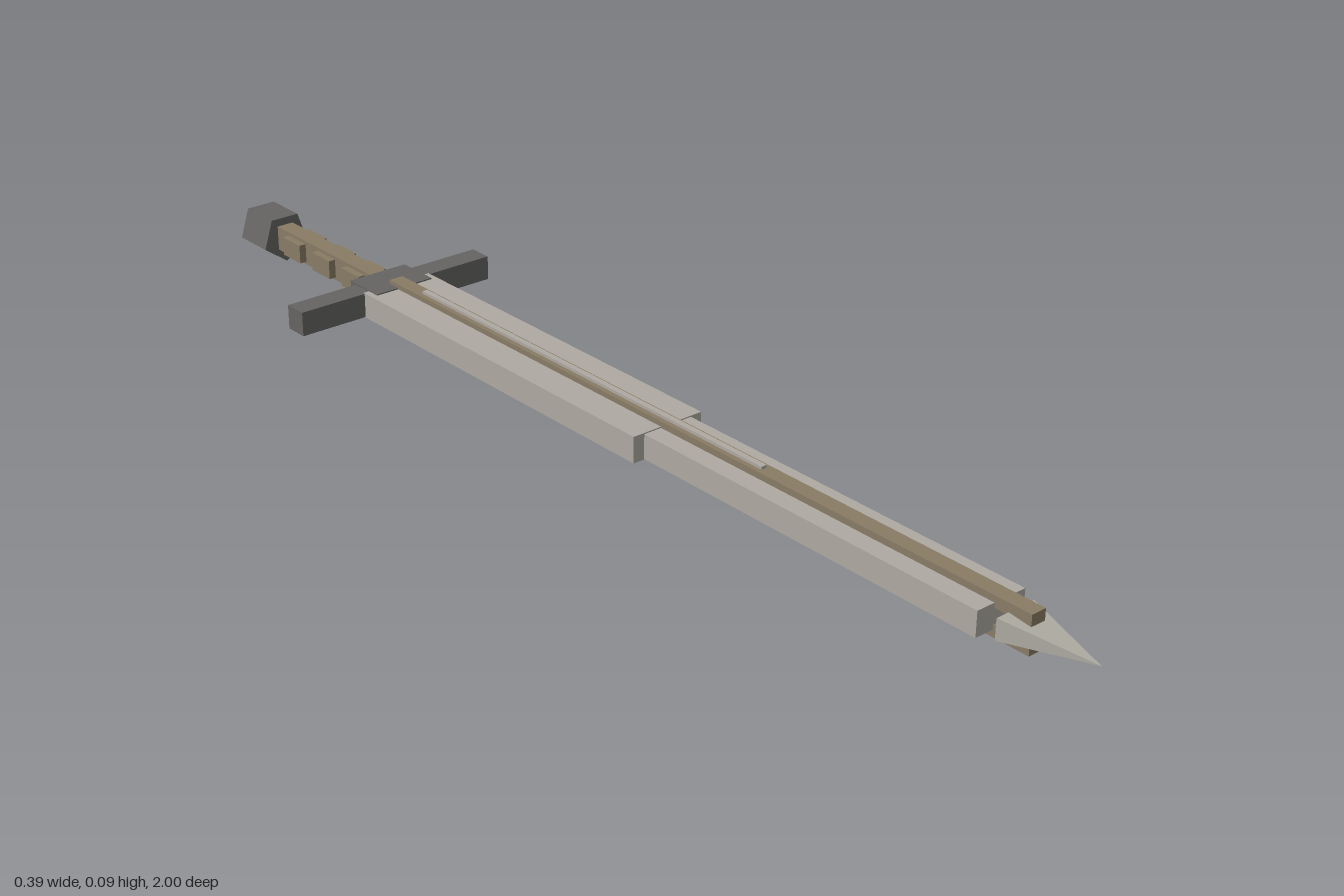
import * as THREE from 'three';

const steel = new THREE.MeshStandardMaterial({ color: 0xaeaaa2 });
steel.name = 'pale steel';
const iron = new THREE.MeshStandardMaterial({ color: 0x656463 });
iron.name = 'dark iron';
const bronze = new THREE.MeshStandardMaterial({ color: 0x887c65 });
bronze.name = 'dull bronze';

const MID = 0.051; // height of the sword's centre line

export function createModel() {
  const sword = new THREE.Group();
  sword.name = 'sword';

  const add = (name, geometry, material) => {
    const mesh = new THREE.Mesh(geometry, material);
    mesh.name = name;
    sword.add(mesh);
    return mesh;
  };

  // Box centred on x, given by half width, height range and length range
  const bar = (name, material, halfX, y0, y1, z0, z1) => {
    const mesh = add(name, new THREE.BoxGeometry(halfX * 2, y1 - y0, z1 - z0), material);
    mesh.position.set(0, (y0 + y1) / 2, (z0 + z1) / 2);
  };

  // Blade: broad half near the guard, slimmer half towards the tip
  bar('broadBlade', steel, 0.068, 0.029, 0.074, -0.57, 0.145);
  bar('slimBlade', steel, 0.047, 0.03, 0.072, 0.145, 0.825);

  // Pointed tip: a flattened square pyramid
  const tip = new THREE.ConeGeometry(Math.SQRT2, 0.15, 4).toNonIndexed();
  tip.rotateY(Math.PI / 4);
  tip.rotateX(Math.PI / 2);
  tip.scale(0.037, 0.0175, 1);
  tip.computeVertexNormals();
  add('bladeTip', tip, steel).position.set(0, MID, 0.925);

  // Raised ridge and thin inlay on both faces of the blade
  for (const [side, s] of [['upper', 1], ['lower', -1]]) {
    const range = (a, b) => (s > 0 ? [MID + a, MID + b] : [MID - b, MID - a]);
    bar(side + 'Ridge', bronze, 0.0135, ...range(0.013, 0.032), -0.57, 0.89);
    bar(side + 'Inlay', steel, 0.005, ...range(0.03, 0.037), -0.485, 0.36);
  }

  // Cross guard with a thicker centre block
  bar('crossGuard', iron, 0.195, 0.03, 0.073, -0.61, -0.567);
  bar('guardBlock', iron, 0.057, 0.027, 0.076, -0.625, -0.545);

  // Grip with three wider bands
  bar('gripCore', bronze, 0.016, 0.03, 0.075, -0.925, -0.62);
  for (const z of [-0.67, -0.762, -0.856]) {
    bar('gripBand', bronze, 0.029, 0.035, 0.069, z - 0.027, z + 0.027);
  }

  // Five-sided pommel, one corner pointing down
  const pommel = new THREE.CylinderGeometry(0.047, 0.047, 0.08, 5).toNonIndexed();
  pommel.rotateX(Math.PI / 2);
  pommel.computeVertexNormals();
  add('pommel', pommel, iron).position.set(0, MID, -0.96);

  return sword;
}
